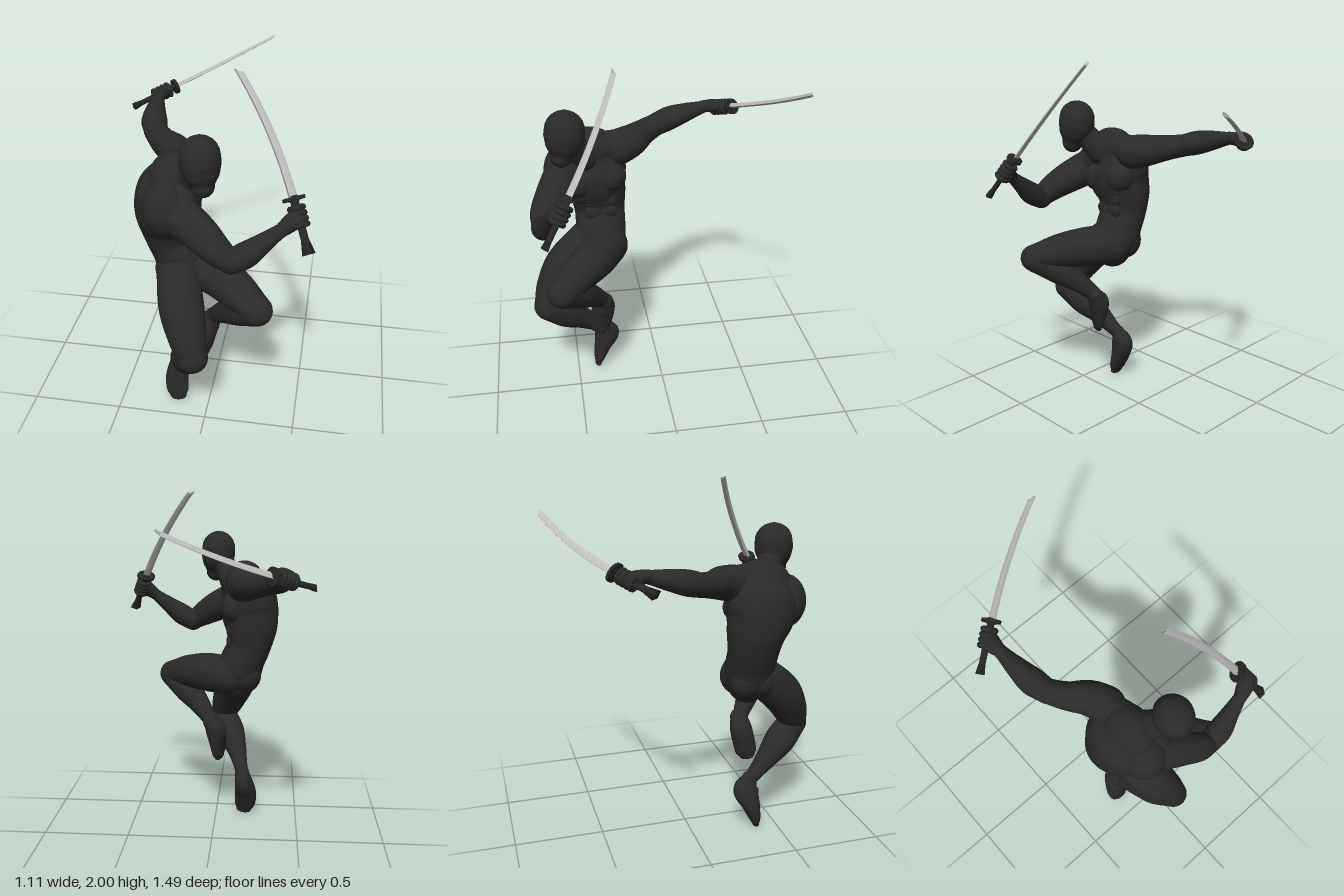
import * as THREE from 'three';

const cloth = new THREE.MeshStandardMaterial({ color: 0x2a2a2a });
cloth.name = 'charcoal cloth';
const hilt = new THREE.MeshStandardMaterial({ color: 0x262626 });
hilt.name = 'dark hilt';
const steel = new THREE.MeshStandardMaterial({ color: 0xbebebe });
steel.name = 'steel';

const v3 = (x, y, z) => new THREE.Vector3(x, y, z);

// Smooth rounded body through rings [x, y, z, radiusU, radiusV]; ref sets the U direction.
function loft(rings, ref = v3(0.3, 0.2, 0.9), sides = 28) {
  const curve = new THREE.CatmullRomCurve3(rings.map(r => v3(r[0], r[1], r[2])), false, 'centripetal');
  const radU = new THREE.SplineCurve(rings.map((r, i) => new THREE.Vector2(i, r[3])));
  const radV = new THREE.SplineCurve(rings.map((r, i) => new THREE.Vector2(i, r[4] ?? r[3])));
  const steps = (rings.length - 1) * 8, caps = 6, stations = [];
  const add = (t, offset, scale) => {
    const T = curve.getTangent(t), U = ref.clone().addScaledVector(T, -ref.dot(T)).normalize();
    const ru = radU.getPoint(t).y, rv = radV.getPoint(t).y;
    const C = curve.getPoint(t).addScaledVector(T, offset * Math.min(ru, rv));
    stations.push({ C, U, V: T.clone().cross(U), ru: ru * scale, rv: rv * scale });
  };
  for (let i = 0; i < caps; i++) {
    const a = Math.PI / 2 * (1 - i / caps);
    add(0, -Math.sin(a), Math.max(Math.cos(a), 0.001));
  }
  for (let i = 0; i <= steps; i++) add(i / steps, 0, 1);
  for (let i = 1; i <= caps; i++) {
    const a = Math.PI / 2 * i / caps;
    add(1, Math.sin(a), Math.max(Math.cos(a), 0.001));
  }
  const pos = [], index = [];
  stations.forEach((s, i) => {
    for (let j = 0; j < sides; j++) {
      const a = j / sides * Math.PI * 2;
      const p = s.C.clone().addScaledVector(s.U, s.ru * Math.cos(a)).addScaledVector(s.V, s.rv * Math.sin(a));
      pos.push(p.x, p.y, p.z);
      if (i === stations.length - 1) continue;
      const k = (j + 1) % sides, A = i * sides + j, B = i * sides + k;
      index.push(A, B, A + sides, B, B + sides, A + sides);
    }
  });
  const g = new THREE.BufferGeometry();
  g.setAttribute('position', new THREE.Float32BufferAttribute(pos, 3));
  g.setIndex(index);
  g.computeVertexNormals();
  return g;
}

function mesh(parent, name, geometry, material = cloth) {
  const m = new THREE.Mesh(geometry, material);
  m.name = name;
  parent.add(m);
  return m;
}

function ball(parent, name, [x, y, z], [a, b, c]) {
  const m = mesh(parent, name, new THREE.SphereGeometry(1, 28, 20));
  m.position.set(x, y, z);
  m.scale.set(a, b, c);
}

// Curved blade: local y runs guard to tip, +x is the bulging cutting edge.
function bladeGeometry(length, sag) {
  const g = new THREE.BoxGeometry(1, 1, 1, 2, 28, 1), p = g.attributes.position;
  for (let i = 0; i < p.count; i++) {
    const t = p.getY(i) + 0.5, side = p.getX(i) * 2;
    const half = 0.021 - 0.005 * t;
    const thick = side > 0.5 ? 0.002 : 0.02 - 0.006 * t;
    const tip = t > 0.99 ? (side + 1) * 0.02 : 0;
    p.setXYZ(i, side * half + 4 * sag * t * (1 - t), t * length - tip, p.getZ(i) * thick);
  }
  g.computeVertexNormals();
  return g;
}

// Sword with a closed fist, placed from its guard, tip and bulge direction.
function swordAndFist(parent, name, guard, tip, bulge) {
  const Y = tip.clone().sub(guard), length = Y.length();
  Y.normalize();
  const X = bulge.clone().addScaledVector(Y, -bulge.dot(Y)).normalize();
  const sword = new THREE.Group();
  sword.name = name;
  sword.applyMatrix4(new THREE.Matrix4().makeBasis(X, Y, X.clone().cross(Y)).setPosition(guard));
  parent.add(sword);
  const sag = 0.025;
  mesh(sword, 'blade', bladeGeometry(length, sag), steel);
  // Hilt follows the blade's starting tangent
  const handle = new THREE.Group();
  handle.name = 'handle';
  handle.rotation.z = -4 * sag / length;
  sword.add(handle);
  const disc = mesh(handle, 'guard', new THREE.CylinderGeometry(0.056, 0.056, 0.016, 20), hilt);
  disc.scale.z = 0.75;
  mesh(handle, 'collar', new THREE.CylinderGeometry(0.02, 0.024, 0.03, 12), hilt);
  const grip = mesh(handle, 'grip', new THREE.CylinderGeometry(0.021, 0.019, 0.22, 10), hilt);
  grip.position.y = -0.11;
  grip.scale.z = 0.75;
  const pommel = mesh(handle, 'pommel', new THREE.CylinderGeometry(0.019, 0.034, 0.08, 4), hilt);
  pommel.position.y = -0.228;
  pommel.scale.z = 0.6;
  for (let i = 0; i < 4; i++) {
    const finger = mesh(handle, 'finger', new THREE.TorusGeometry(0.031, 0.0145, 10, 20));
    finger.rotation.x = Math.PI / 2;
    finger.position.y = -0.045 - i * 0.027;
  }
}

export function createModel() {
  const model = new THREE.Group();
  model.name = 'swordFighter';
  const Z = v3(0, 0, 1);

  // Torso, chest turned towards +x
  mesh(model, 'torso', loft([
    [-0.11, 0.88, 0.33, 0.11, 0.11],
    [-0.135, 0.94, 0.327, 0.135, 0.135],
    [-0.165, 1.02, 0.327, 0.14, 0.13],
    [-0.2, 1.1, 0.327, 0.142, 0.127],
    [-0.21, 1.2, 0.335, 0.16, 0.152],
    [-0.2, 1.3, 0.36, 0.188, 0.168],
    [-0.19, 1.4, 0.37, 0.19, 0.157],
    [-0.165, 1.48, 0.385, 0.15, 0.115]], Z, 40));
  ball(model, 'leftChest', [-0.115, 1.33, 0.285], [0.08, 0.095, 0.105]);
  ball(model, 'rightChest', [-0.105, 1.315, 0.44], [0.08, 0.095, 0.105]);
  for (const z of [0.29, 0.37])
    for (let i = 0; i < 3; i++)
      ball(model, 'abdominal', [-0.085, 1.2 - i * 0.07, z], [0.02, 0.045, 0.05]);
  ball(model, 'rightShoulderBlade', [-0.175, 1.36, 0.5], [0.12, 0.15, 0.125]);
  ball(model, 'leftGlute', [-0.175, 0.93, 0.29], [0.098, 0.11, 0.095]);
  ball(model, 'rightGlute', [-0.175, 0.93, 0.38], [0.098, 0.11, 0.095]);
  mesh(model, 'shoulderYoke', loft([
    [-0.17, 1.49, 0.23, 0.08], [-0.14, 1.49, 0.34, 0.08],
    [-0.115, 1.45, 0.45, 0.075], [-0.09, 1.36, 0.53, 0.08]], v3(1, 0, 0)));

  // Neck and masked head
  mesh(model, 'neck', loft([[-0.11, 1.46, 0.41, 0.085], [-0.06, 1.53, 0.455, 0.07], [-0.02, 1.59, 0.49, 0.068]]));
  mesh(model, 'head', loft([
    [0.012, 1.515, 0.53, 0.058], [0.006, 1.56, 0.52, 0.088, 0.084],
    [-0.002, 1.615, 0.508, 0.106, 0.099], [-0.005, 1.658, 0.504, 0.104, 0.098]], Z));

  // Left arm, stretched backwards
  mesh(model, 'leftUpperArm', loft([
    [-0.165, 1.475, 0.215, 0.098], [-0.205, 1.49, 0.14, 0.09],
    [-0.285, 1.505, 0.06, 0.072], [-0.345, 1.522, -0.02, 0.063]]));
  mesh(model, 'leftForearm', loft([
    [-0.345, 1.522, -0.02, 0.063], [-0.37, 1.545, -0.1, 0.07, 0.066],
    [-0.385, 1.57, -0.2, 0.053], [-0.395, 1.595, -0.31, 0.034]], v3(1, 0, 0)));
  mesh(model, 'leftPalm', loft([[-0.395, 1.595, -0.3, 0.034], [-0.4, 1.595, -0.35, 0.045, 0.036], [-0.4, 1.59, -0.39, 0.05, 0.036]], v3(1, 0, 0)));

  // Right arm, bent across the front
  mesh(model, 'rightUpperArm', loft([
    [-0.09, 1.34, 0.54, 0.1], [0.015, 1.285, 0.595, 0.09],
    [0.1, 1.23, 0.64, 0.075], [0.165, 1.187, 0.65, 0.06]]));
  mesh(model, 'rightForearm', loft([
    [0.165, 1.184, 0.65, 0.06], [0.24, 1.23, 0.645, 0.064],
    [0.32, 1.295, 0.625, 0.047], [0.4, 1.36, 0.605, 0.033]]));
  mesh(model, 'rightPalm', loft([[0.395, 1.355, 0.607, 0.034], [0.43, 1.385, 0.592, 0.042], [0.455, 1.405, 0.58, 0.044]]));

  // Left leg, knee drawn up
  mesh(model, 'leftThigh', loft([
    [-0.08, 0.92, 0.3, 0.115], [0.05, 0.918, 0.38, 0.116],
    [0.18, 0.895, 0.485, 0.1], [0.29, 0.857, 0.578, 0.08]]));
  mesh(model, 'leftShin', loft([
    [0.285, 0.852, 0.572, 0.08], [0.18, 0.775, 0.48, 0.082],
    [0.1, 0.7, 0.41, 0.062], [0.03, 0.62, 0.345, 0.044]]));
  mesh(model, 'leftFoot', loft([
    [0.035, 0.62, 0.34, 0.05, 0.045], [0.0, 0.56, 0.342, 0.064, 0.062],
    [-0.012, 0.47, 0.36, 0.066, 0.045], [-0.018, 0.41, 0.372, 0.062, 0.032],
    [-0.02, 0.385, 0.378, 0.045, 0.024]], v3(-0.4, 0, 0.9)));

  // Right leg, trailing below
  mesh(model, 'rightThigh', loft([
    [-0.15, 0.93, 0.4, 0.113], [-0.105, 0.8, 0.54, 0.118],
    [-0.06, 0.67, 0.622, 0.1], [-0.03, 0.575, 0.66, 0.08]]));
  mesh(model, 'rightShin', loft([
    [-0.03, 0.57, 0.655, 0.082], [-0.08, 0.485, 0.555, 0.088],
    [-0.125, 0.4, 0.455, 0.062], [-0.155, 0.32, 0.365, 0.042]]));
  mesh(model, 'rightFoot', loft([
    [-0.16, 0.31, 0.345, 0.04, 0.045], [-0.172, 0.25, 0.318, 0.053, 0.075],
    [-0.187, 0.15, 0.345, 0.066, 0.052], [-0.182, 0.07, 0.368, 0.063, 0.034],
    [-0.175, 0.025, 0.378, 0.045, 0.02]], v3(1, 0, 0)));

  // Pair of curved swords
  swordAndFist(model, 'rightSword', v3(0.44, 1.48, 0.52), v3(0.13, 2.0, 0.25), v3(0.75, 0.15, -0.5));
  swordAndFist(model, 'leftSword', v3(-0.33, 1.61, -0.45), v3(0.2, 1.84, -0.74), v3(-0.25, -0.45, -0.75));
  return model;
}
